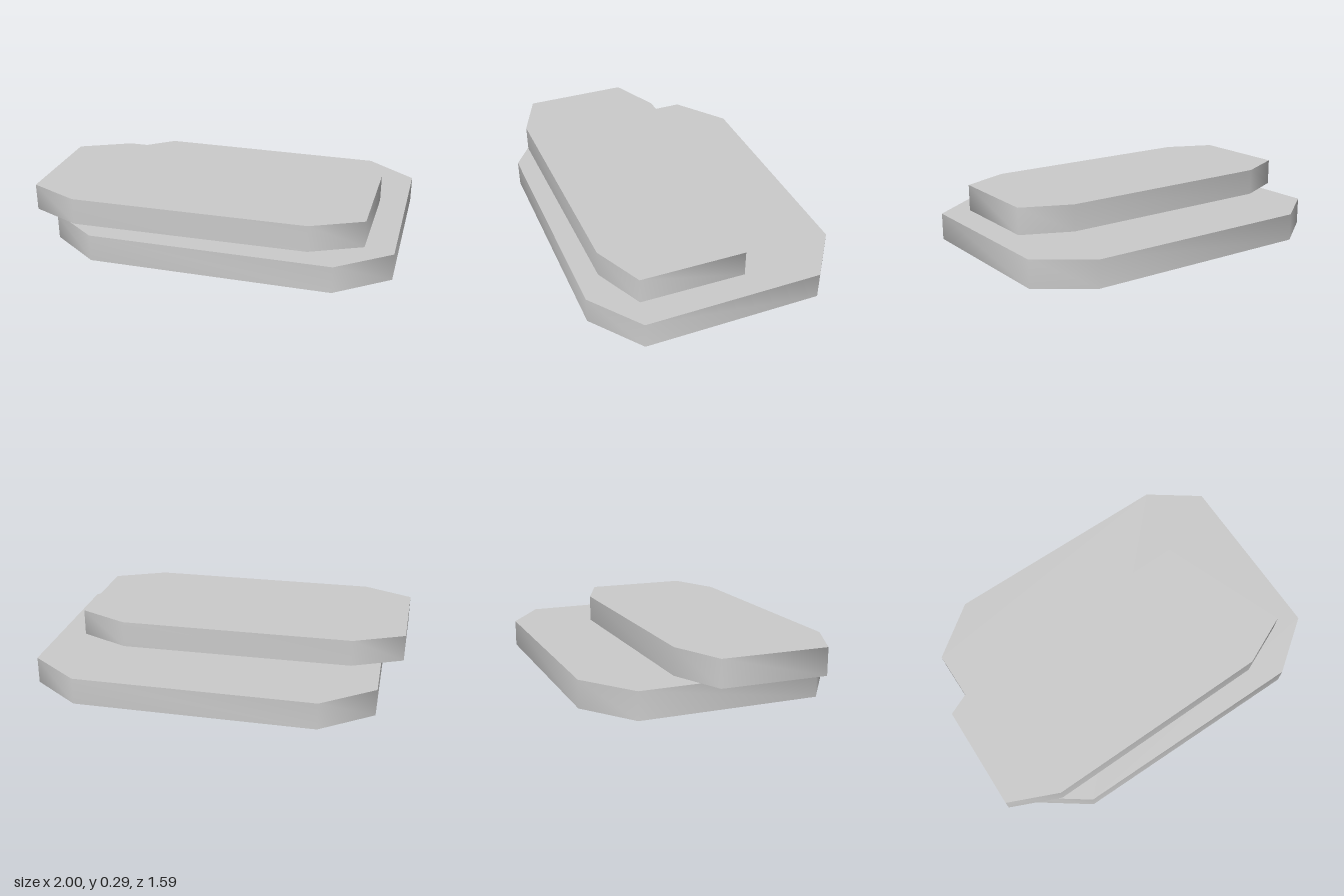
import * as THREE from 'three';
import { toCreasedNormals } from 'three/addons/utils/BufferGeometryUtils.js';

const material = new THREE.MeshStandardMaterial({ color: 0xcccccc });

// Eight-sided slab: four corners (x, z) from its centre, repeated by a half turn
function slab(name, half, [cx, cz], bottom, top) {
  const corners = [...half, ...half.map(([x, z]) => [-x, -z])];
  const shape = new THREE.Shape(corners.map(([x, z]) => new THREE.Vector2(x, -z)));
  const geometry = new THREE.ExtrudeGeometry(shape, { depth: top - bottom, bevelEnabled: false });
  geometry.rotateX(-Math.PI / 2);
  // Smooth shading round the rim, sharp edges to the flat faces
  const mesh = new THREE.Mesh(toCreasedNormals(geometry, 1.3), material);
  mesh.position.set(cx, bottom, cz);
  mesh.name = name;
  return mesh;
}

export function createModel() {
  const model = new THREE.Group();
  model.name = 'stackedSlabs';
  model.add(
    slab('lowerSlab', [[-0.756, -0.524], [0.483, -0.793], [0.786, -0.66], [0.981, 0.267]], [0.019, 0], 0, 0.145),
    slab('upperSlab', [[-0.684, -0.253], [0.532, -0.533], [0.814, -0.476], [0.922, 0.076]], [-0.078, 0.19], 0.147, 0.291),
  );
  return model;
}
